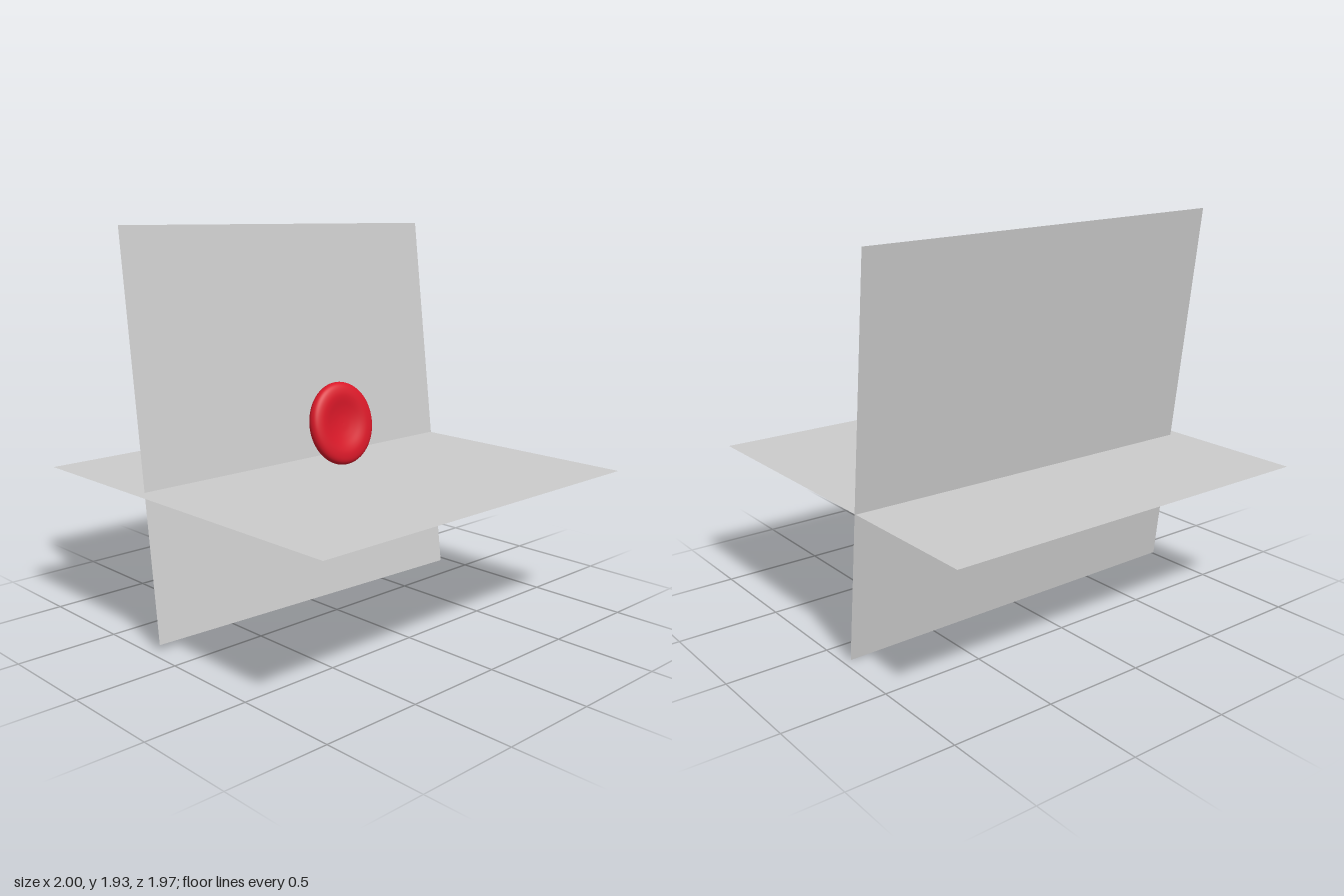
import * as THREE from 'three';

const grey = new THREE.MeshStandardMaterial({ color: 0xcccccc, side: THREE.DoubleSide });
const red = new THREE.MeshStandardMaterial({ color: 0xd81828 });

// Rotation whose z axis is the given facing direction, with x kept close to the given side direction
function orient(side, facing) {
  const z = facing.clone().normalize();
  const y = new THREE.Vector3().crossVectors(z, side).normalize();
  const x = new THREE.Vector3().crossVectors(y, z);
  return new THREE.Quaternion().setFromRotationMatrix(new THREE.Matrix4().makeBasis(x, y, z));
}

function add(group, name, geometry, material, x, y, z) {
  const mesh = new THREE.Mesh(geometry, material);
  mesh.name = name;
  mesh.position.set(x, y, z);
  group.add(mesh);
  return mesh;
}

// Disc hollowed on both faces, with a thick round rim, axis along z
function dimpledDisc() {
  const half = [
    [0, 0.014], [0.04, 0.016], [0.08, 0.023], [0.12, 0.033],
    [0.15, 0.036], [0.18, 0.031], [0.198, 0.019],
  ];
  const lower = half.map(([r, h]) => new THREE.Vector2(r, -h));
  const upper = half.map(([r, h]) => new THREE.Vector2(r, h)).reverse();
  const curve = new THREE.SplineCurve([...lower, new THREE.Vector2(0.205, 0), ...upper]);
  const profile = curve.getPoints(60);
  profile.forEach((p) => { p.x = Math.max(p.x, 0); });
  return new THREE.LatheGeometry(profile, 64).rotateX(Math.PI / 2);
}

export function createModel() {
  const model = new THREE.Group();

  // Level sheet
  add(model, 'floorSheet', new THREE.PlaneGeometry(1.97, 1.97).rotateX(-Math.PI / 2), grey,
    -0.015, 0.74, -0.005);

  // Backward leaning sheet that passes through the level one
  const wall = add(model, 'backSheet', new THREE.PlaneGeometry(1.92, 1.92), grey, 0.02, 0.97, -0.298);
  wall.quaternion.copy(orient(
    new THREE.Vector3(1.92, -0.032, 0.026),
    new THREE.Vector3(-0.0112, 0.142, 1)));

  // Oval dimpled disc hovering over the level sheet
  const disc = add(model, 'dimpledDisc', dimpledDisc(), red, 0.04, 0.962, -0.012);
  disc.scale.set(0.905, 1, 1);
  disc.quaternion.copy(orient(
    new THREE.Vector3(1, 0, 0.1),
    new THREE.Vector3(-0.1, 0.2, 1)));

  return model;
}
